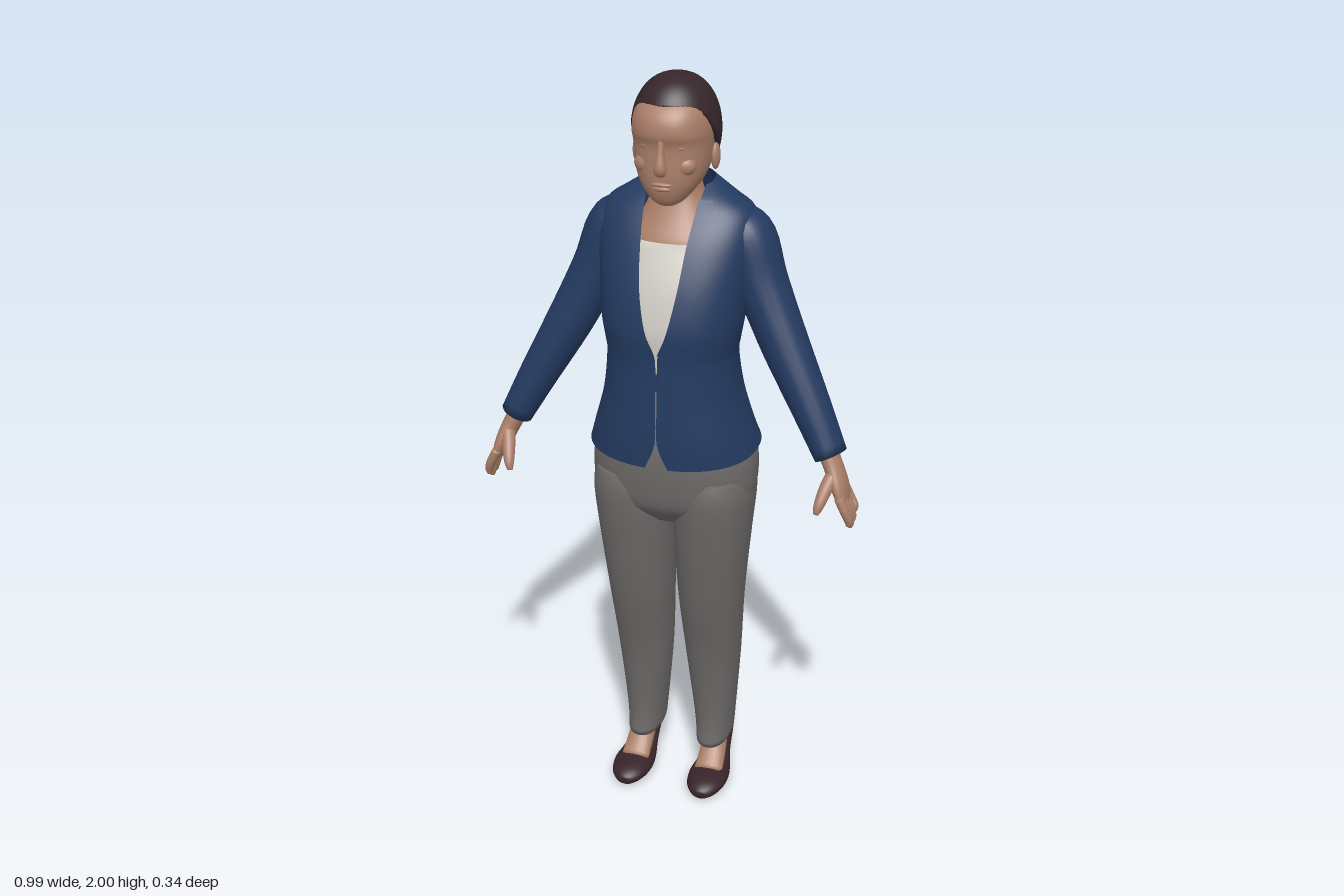
import * as THREE from 'three';

const mat = (name, color, side = THREE.FrontSide) => {
  const m = new THREE.MeshStandardMaterial({ color, side });
  m.name = name;
  return m;
};

// Catmull-Rom subdivision of a table of rows
function smooth(rows, k = 4) {
  const out = [], last = rows.length - 1;
  for (let i = 0; i < last; i++) {
    const a = rows[Math.max(i - 1, 0)], b = rows[i], c = rows[i + 1], d = rows[Math.min(i + 2, last)];
    for (let j = 0; j < k; j++) {
      const t = j / k;
      out.push(b.map((_, q) => 0.5 * (2 * b[q] + (c[q] - a[q]) * t
        + (2 * a[q] - 5 * b[q] + 4 * c[q] - d[q]) * t * t
        + (3 * b[q] - a[q] - 3 * c[q] + d[q]) * t * t * t)));
    }
  }
  out.push(rows[last]);
  return out;
}

// Skin a list of rings of [x, y, z] points, optionally wrapped and capped
function grid(rings, closed, capped) {
  const all = rings.slice();
  if (capped) {
    const middle = ring => {
      const c = [0, 1, 2].map(q => ring.reduce((sum, p) => sum + p[q], 0) / ring.length);
      return ring.map(() => c);
    };
    all.unshift(middle(rings[0]));
    all.push(middle(rings[rings.length - 1]));
  }
  const n = all[0].length, idx = [];
  for (let i = 0; i < all.length - 1; i++) {
    for (let j = 0; j < (closed ? n : n - 1); j++) {
      const a = i * n + j, b = i * n + (j + 1) % n;
      idx.push(a, b, b + n, a, b + n, a + n);
    }
  }
  const g = new THREE.BufferGeometry();
  g.setAttribute('position', new THREE.Float32BufferAttribute(all.flat(2), 3));
  g.setIndex(idx);
  g.computeVertexNormals();
  return g;
}

// Upright loft, rows bottom to top: [y, centreX, radiusX, zFront, zBack, tilt, opening]
function loft(rows, { n = 2.2, seg = 40, range = null, capped = !range } = {}) {
  const pw = v => Math.sign(v) * Math.abs(v) ** (2 / n);
  const rings = smooth(rows).map(r => {
    const [y, cx, rx, zf, zb, tilt = 0] = r;
    const [a, b] = range ? range(r, n) : [0, Math.PI * 2];
    return Array.from({ length: range ? seg + 1 : seg }, (_, j) => {
      const t = a + (b - a) * j / seg;
      return [cx + rx * pw(Math.sin(t)), y + tilt * Math.cos(t), (zf + zb) / 2 + (zf - zb) / 2 * pw(Math.cos(t))];
    });
  });
  return grid(rings, !range, capped);
}

// Elliptical tube along a path of [x, y, z, radiusSide, radiusOther]
function sweep(path, up = [0, 0, 1], seg = 20) {
  const rows = smooth(path), U = new THREE.Vector3(...up), V = r => new THREE.Vector3(r[0], r[1], r[2]);
  const rings = rows.map((r, i) => {
    const T = V(rows[Math.min(i + 1, rows.length - 1)]).sub(V(rows[Math.max(i - 1, 0)])).normalize();
    const S = T.clone().cross(U).normalize(), F = T.clone().cross(S);
    return Array.from({ length: seg }, (_, j) => {
      const t = j / seg * Math.PI * 2;
      return V(r).addScaledVector(S, r[3] * Math.cos(t)).addScaledVector(F, r[4] * Math.sin(t)).toArray();
    });
  });
  return grid(rings, true, true);
}

// Angle at which a ring reaches a given half width on its front
const angleAt = (w, rx, n) => Math.asin(Math.min(Math.max(w, 0) / rx, 1) ** (n / 2));

export function createModel() {
  const root = new THREE.Group();
  const skin = mat('skin', 0xab7f69), hairMat = mat('hair', 0x35262a, THREE.DoubleSide);
  const navy = mat('jacket navy', 0x233a60, THREE.DoubleSide), grey = mat('trouser grey', 0x6c6968);
  const white = mat('blouse white', 0xcfccc4, THREE.DoubleSide), shoeMat = mat('shoe brown', 0x38242a);
  const add = (name, geo, material) => {
    const m = new THREE.Mesh(geo, material);
    m.name = name;
    root.add(m);
    return m;
  };
  const blob = (name, material, pos, scale) => {
    const m = add(name, new THREE.SphereGeometry(1, 28, 20), material);
    m.position.set(...pos);
    m.scale.set(...scale);
    return m;
  };

  // Jacket shell, left open along the neckline
  const jacketRows = [
    [1.05, 0, 0.222, 0.168, -0.168, -0.02, 0.03],
    [1.10, 0, 0.206, 0.17, -0.16, 0, 0.003],
    [1.20, 0, 0.178, 0.166, -0.138, 0, 0.002],
    [1.30, 0, 0.166, 0.162, -0.115, 0, 0.002],
    [1.34, 0, 0.170, 0.164, -0.116, 0, 0.006],
    [1.40, 0, 0.180, 0.165, -0.122, 0, 0.03],
    [1.50, 0, 0.190, 0.143, -0.138, 0, 0.05],
    [1.60, 0, 0.200, 0.102, -0.146, 0, 0.06],
    [1.665, 0, 0.190, 0.06, -0.135, 0, 0.067],
    [1.70, 0, 0.145, 0.032, -0.118, 0, 0.070],
    [1.735, 0, 0.085, 0.005, -0.098, -0.015, 0.072],
  ];
  add('jacketBody', loft(jacketRows, {
    n: 2.3, seg: 60,
    range: (r, n) => { const t = angleAt(r[6], r[2], n); return [t, Math.PI * 2 - t]; },
  }), navy);

  // Lapels, a thin raised strip on each side of the neckline
  const lapelRows = jacketRows.slice(4, 10).map(([y, x, rx, f, b, t, w], i) =>
    [y, x, rx + 0.004, f + 0.006, b, t, w, [0.012, 0.035, 0.05, 0.055, 0.045, 0.03][i]]);
  for (const s of [1, -1]) {
    add(s > 0 ? 'leftLapel' : 'rightLapel', loft(lapelRows, {
      n: 2.3, seg: 6,
      range: (r, n) => {
        const a = angleAt(r[6] - 0.002, r[2], n), b = angleAt(r[6] + r[7], r[2], n);
        return s > 0 ? [a, b] : [-b, -a];
      },
    }), navy);
  }

  // Blouse, neck and upper chest
  add('blouse', loft([
    [1.28, 0, 0.14, 0.148, -0.09], [1.34, 0, 0.15, 0.152, -0.09], [1.40, 0, 0.16, 0.153, -0.1],
    [1.50, 0, 0.165, 0.132, -0.11], [1.60, 0, 0.15, 0.093, -0.11],
  ]), white);
  add('neck', loft([
    [1.56, 0, 0.13, 0.09, -0.08], [1.60, 0, 0.12, 0.084, -0.09], [1.65, 0, 0.09, 0.056, -0.085],
    [1.70, 0, 0.067, 0.034, -0.078], [1.74, 0, 0.057, 0.03, -0.07], [1.80, 0, 0.055, 0.03, -0.07],
  ]), skin);

  // Head and facial features
  add('head', loft([
    [1.697, 0, 0.022, 0.088, 0.035], [1.708, 0, 0.04, 0.102, 0.015], [1.73, 0, 0.06, 0.112, -0.02],
    [1.755, 0, 0.077, 0.117, -0.05], [1.79, 0, 0.09, 0.119, -0.08], [1.845, 0, 0.097, 0.119, -0.098],
    [1.875, 0, 0.099, 0.128, -0.1], [1.91, 0, 0.095, 0.123, -0.1], [1.94, 0, 0.082, 0.102, -0.085],
    [1.97, 0, 0.05, 0.06, -0.05],
  ]), skin);
  add('nose', sweep([
    [0, 1.868, 0.117, 0.008, 0.008], [0, 1.83, 0.122, 0.01, 0.012], [0, 1.797, 0.128, 0.016, 0.014],
    [0, 1.783, 0.122, 0.012, 0.008],
  ]), skin);
  blob('upperLip', skin, [0, 1.757, 0.114], [0.026, 0.006, 0.009]);
  blob('lowerLip', skin, [0, 1.746, 0.112], [0.022, 0.007, 0.009]);
  for (const s of [1, -1]) {
    blob(s > 0 ? 'leftEar' : 'rightEar', skin, [s * 0.099, 1.805, -0.002], [0.011, 0.033, 0.019]);
    blob(s > 0 ? 'leftCheek' : 'rightCheek', skin, [s * 0.045, 1.8, 0.085], [0.032, 0.026, 0.024]);
    blob(s > 0 ? 'leftEye' : 'rightEye', skin, [s * 0.038, 1.847, 0.1], [0.017, 0.009, 0.012]);
  }

  // Hair cap: an egg cut along a hairline that drops from forehead to nape
  const hairline = [1.94, 1.938, 1.915, 1.835, 1.80, 1.77, 1.757];
  const hairRings = [];
  const steps = 18, around = 48;
  for (let i = -1; i <= steps; i++) {
    hairRings.push(Array.from({ length: around }, (_, j) => {
      const t = j / around * Math.PI * 2;
      const f = (t > Math.PI ? Math.PI * 2 - t : t) / Math.PI * 6, q = Math.min(Math.floor(f), 5);
      const edge = hairline[q] + (hairline[q + 1] - hairline[q]) * (f - q);
      const phi = Math.acos((edge - 1.865) / 0.135) * (1 - Math.max(i, 0) / steps);
      const r = Math.sin(phi) ** 0.85 * (i < 0 ? 0.86 : 1);
      return [0.109 * r * Math.sin(t), 1.865 + 0.135 * Math.cos(phi), -0.003 + 0.122 * r * Math.cos(t)];
    }));
  }
  add('hair', grid(hairRings, true, false), hairMat);
  blob('hairBun', hairMat, [0, 1.835, -0.113], [0.046, 0.06, 0.048]);

  // Trouser seat
  add('trouserSeat', loft([
    [0.84, 0, 0.10, 0.085, -0.08], [0.88, 0, 0.19, 0.125, -0.118], [0.92, 0, 0.213, 0.144, -0.136],
    [1.0, 0, 0.218, 0.152, -0.157], [1.06, 0, 0.206, 0.15, -0.158], [1.11, 0, 0.185, 0.14, -0.135],
  ]), grey);

  for (const s of [1, -1]) {
    const side = s > 0 ? 'left' : 'right';
    const limb = (name, path, material, up) =>
      add(side + name, sweep(path.map(([x, ...rest]) => [s * x, ...rest]), up), material);

    // Trouser leg
    add(side + 'TrouserLeg', loft([
      [0.125, s * 0.1, 0.048, 0.03, -0.138, -0.015], [0.2, s * 0.099, 0.055, 0.022, -0.13, 0],
      [0.4, s * 0.097, 0.074, 0.045, -0.12, 0], [0.6, s * 0.098, 0.087, 0.092, -0.11, 0],
      [0.8, s * 0.104, 0.1, 0.126, -0.117, 0], [0.92, s * 0.109, 0.105, 0.14, -0.133, 0],
      [0.98, s * 0.11, 0.095, 0.13, -0.13, 0],
    ]), grey);

    // Sleeve
    limb('Sleeve', [
      [0.12, 1.655, -0.04, 0.025, 0.04], [0.145, 1.635, -0.04, 0.05, 0.065], [0.175, 1.595, -0.04, 0.068, 0.078],
      [0.207, 1.5, -0.028, 0.068, 0.073], [0.245, 1.42, -0.014, 0.064, 0.067], [0.29, 1.33, 0.004, 0.06, 0.062],
      [0.36, 1.2, 0.03, 0.051, 0.055], [0.422, 1.08, 0.052, 0.042, 0.05],
    ], navy);

    // Hand with four fingers and a thumb
    limb('Palm', [
      [0.41, 1.1, 0.05, 0.026, 0.034], [0.432, 1.055, 0.06, 0.024, 0.035], [0.452, 1.01, 0.069, 0.021, 0.045],
      [0.464, 0.975, 0.073, 0.015, 0.046], [0.466, 0.965, 0.073, 0.008, 0.038],
    ], skin);
    [0.035, 0.061, 0.087, 0.11].forEach((z, i) => {
      const tip = [0.925, 0.908, 0.903, 0.915][i], zt = z + (0.073 - z) * 0.15;
      limb('Finger' + (i + 1), [
        [0.46, 0.99, z, 0.012, 0.013], [0.477, 0.955, z, 0.012, 0.013],
        [0.486, tip + 0.015, zt, 0.011, 0.012], [0.486, tip, zt, 0.006, 0.007],
      ], skin);
    });
    limb('Thumb', [
      [0.438, 1.045, 0.075, 0.018, 0.02], [0.425, 1.01, 0.11, 0.017, 0.017],
      [0.415, 0.975, 0.136, 0.013, 0.013], [0.41, 0.955, 0.143, 0.007, 0.007],
    ], skin);

    // Foot, pump and heel
    limb('Foot', [
      [0.102, 0.18, -0.075, 0.032, 0.035], [0.104, 0.12, -0.045, 0.034, 0.036],
      [0.107, 0.075, 0.0, 0.037, 0.026], [0.108, 0.045, 0.045, 0.04, 0.018],
    ], skin, [0, 1, 0]);
    limb('Shoe', [
      [0.105, 0.108, -0.135, 0.016, 0.022], [0.105, 0.1, -0.115, 0.03, 0.034], [0.106, 0.086, -0.08, 0.035, 0.033],
      [0.107, 0.058, -0.04, 0.04, 0.028], [0.109, 0.034, 0.0, 0.05, 0.03], [0.11, 0.03, 0.05, 0.056, 0.029],
      [0.11, 0.027, 0.1, 0.046, 0.025], [0.11, 0.023, 0.128, 0.026, 0.016], [0.11, 0.022, 0.135, 0.01, 0.008],
    ], shoeMat, [0, 1, 0]);
    limb('Heel', [
      [0.105, 0, -0.105, 0.009, 0.01], [0.105, 0.04, -0.106, 0.01, 0.012], [0.105, 0.095, -0.11, 0.024, 0.028],
    ], shoeMat);
  }
  return root;
}
